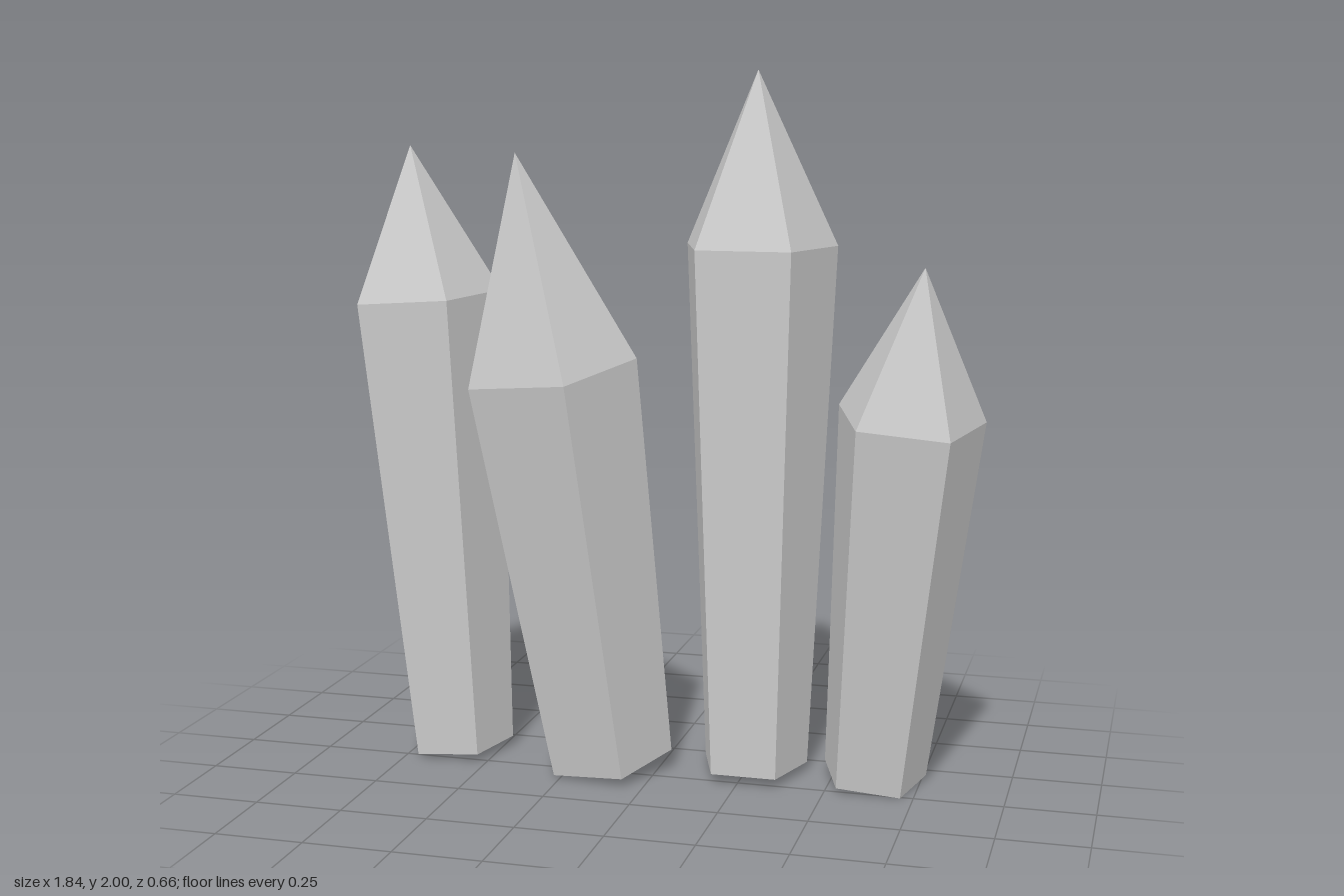
import * as THREE from 'three';

// base and tip are the ends of the axis; shoulder is the fraction of the
// length where the shaft meets the point; turn is in degrees about the axis.
const CRYSTALS = [
  { name: 'farRightCrystal', base: [-0.62, 0.022, -0.1], tip: [-0.735, 1.788, -0.072], shoulder: 0.757, rBase: 0.155, rShoulder: 0.225, turn: -2 },
  { name: 'leaningCrystal', base: [-0.14, 0.04, -0.036], tip: [-0.333, 1.78, 0.187], shoulder: 0.66, rBase: 0.183, rShoulder: 0.247, turn: 9.3 },
  { name: 'tallCrystal', base: [0.27, 0.03, -0.105], tip: [0.27, 2, -0.105], shoulder: 0.756, rBase: 0.158, rShoulder: 0.226, turn: 0 },
  { name: 'shortCrystal', base: [0.62, 0.025, -0.11], tip: [0.758, 1.485, 0.053], shoulder: 0.716, rBase: 0.153, rShoulder: 0.212, turn: -2.4 },
];

const UP = new THREE.Vector3(0, 1, 0);

// Five-sided tapered shaft with a pointed top and an open underside
function makeCrystal({ name, base, tip, shoulder, rBase, rShoulder, turn }, material) {
  const start = new THREE.Vector3(...base);
  const axis = new THREE.Vector3(...tip).sub(start);
  const length = axis.length();
  const profile = [
    new THREE.Vector2(rBase, 0),
    new THREE.Vector2(rShoulder, length * shoulder),
    new THREE.Vector2(0, length),
  ];
  const phiStart = Math.PI - THREE.MathUtils.degToRad(turn);
  const mesh = new THREE.Mesh(new THREE.LatheGeometry(profile, 5, phiStart), material);
  mesh.name = name;
  mesh.position.copy(start);
  mesh.quaternion.setFromUnitVectors(UP, axis.normalize());
  return mesh;
}

export function createModel() {
  const group = new THREE.Group();
  group.name = 'crystalCluster';
  const material = new THREE.MeshStandardMaterial({
    color: 0xcccccc,
    flatShading: true,
    side: THREE.DoubleSide,
  });
  for (const crystal of CRYSTALS) group.add(makeCrystal(crystal, material));
  return group;
}
